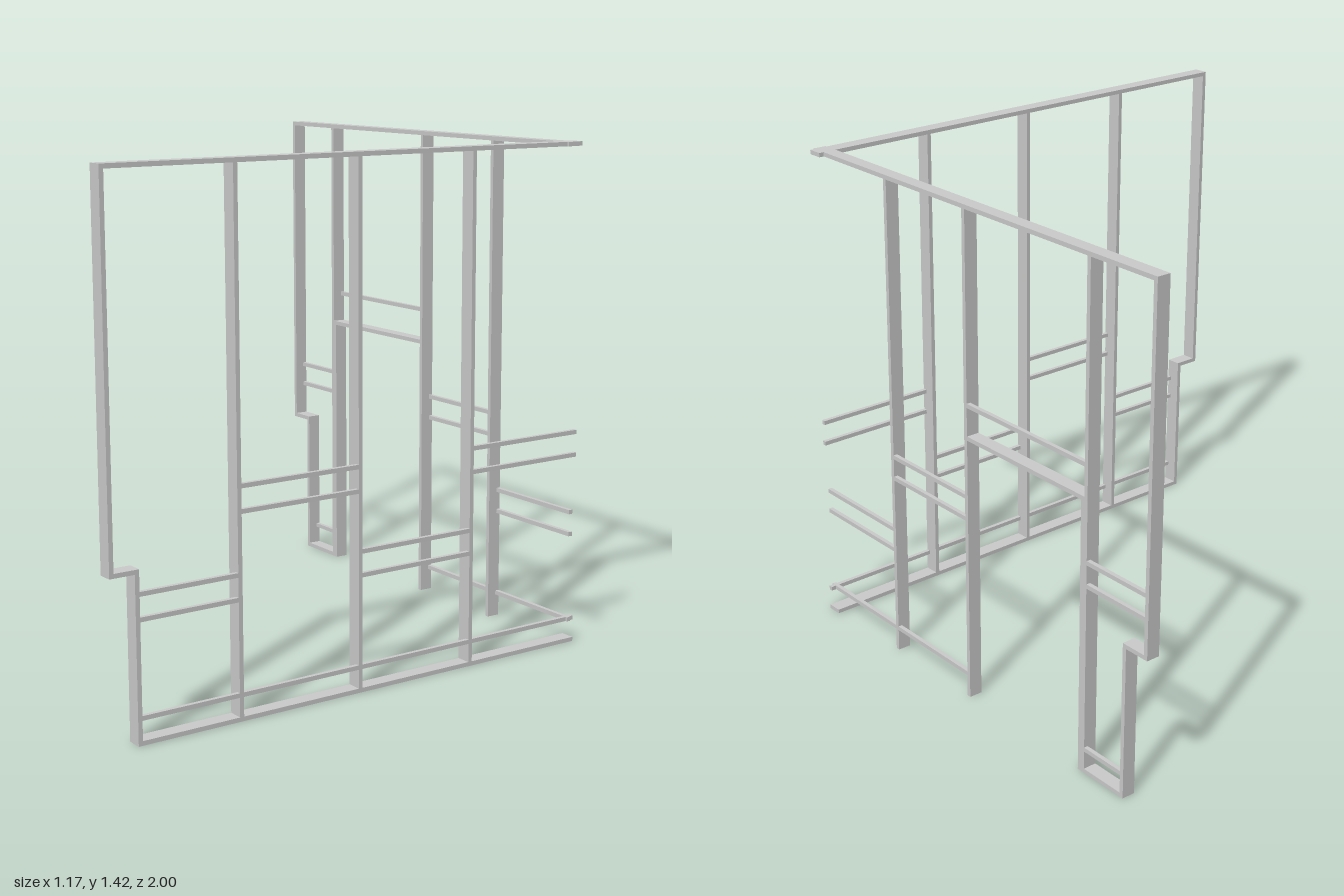
import * as THREE from 'three';

const T = 0.012;      // timber thickness
const TOP = 1.42;     // wall height
const LEDGE = 0.447;  // top of the stepped wall end

const material = new THREE.MeshStandardMaterial({ color: 0xcccccc, flatShading: true });

// A wall runs along its local x from the corner; inward is +1 or -1 along local z.
function createWall(name, corner, angle, depth, inward) {
  const wall = new THREE.Group();
  wall.name = name;
  wall.position.set(corner[0], 0, corner[1]);
  wall.rotation.y = angle;
  const timber = (part, s0, s1, y0, y1, d = depth) => {
    const mesh = new THREE.Mesh(new THREE.BoxGeometry(s1 - s0, y1 - y0, d), material);
    mesh.position.set((s0 + s1) / 2, (y0 + y1) / 2, inward * d / 2);
    mesh.name = part;
    wall.add(mesh);
  };
  return {
    wall,
    stud: (part, s, y0, y1) => timber(part, s, s + T, y0, y1),
    plate: (part, s0, s1, y0) => timber(part, s0, s1, y0, y0 + T),
    // slim rails sit flush with the outer face
    rails: (s0, s1, heights) => heights.forEach((y) =>
      timber('rail', s0, s1, y - T / 2, y + T / 2, T)),
  };
}

// Wall end that steps in below the ledge
function steppedEnd(w, length, inner) {
  w.stud('upperEndPost', length - T, LEDGE, TOP - T);
  w.plate('ledge', inner, length, LEDGE - T);
  w.stud('lowerEndPost', inner, 0, LEDGE - T);
}

const HIGH = [0.611, 0.546];
const LOW = [0.384, 0.32];
const BASE = 0.07;

export function createModel() {
  const model = new THREE.Group();
  model.name = 'wallFrame';

  // Front wall: four equal bays with alternating rail heights
  const fLen = 1.478, fInner = 1.397, bay = 0.3685;
  const front = createWall('frontWall', [0.584, 0.063], Math.atan2(-0.632, -0.775), 0.043, 1);
  front.plate('topPlate', 0, fLen, TOP - T);
  front.plate('solePlate', 0, fInner + T, 0);
  for (let i = 1; i < 4; i++) front.stud('stud', i * bay, T, TOP - T);
  steppedEnd(front, fLen, fInner);
  for (let i = 0; i < 4; i++) {
    front.rails(i ? i * bay + T : 0, i < 3 ? (i + 1) * bay : fInner, i % 2 ? LOW : HIGH);
  }
  front.rails(0, fInner, [BASE]);

  // Back wall: two bays, a doorway and a narrow end bay
  const bLen = 1.377, bInner = 1.289, studs = [0.325, 0.66, 1.139];
  const back = createWall('backWall', [0.576, 0.077], Math.atan2(0.783, -0.622), 0.039, -1);
  back.plate('topPlate', 0, bLen, TOP - T);
  studs.forEach((s) => back.stud('stud', s, 0, TOP - T));
  steppedEnd(back, bLen, bInner);
  back.rails(0, studs[0], LOW);
  back.rails(studs[0] + T, studs[1], HIGH);
  back.rails(0, studs[1], [BASE]);
  back.rails(studs[2] + T, bLen - T, HIGH);
  back.rails(studs[2] + T, bInner, [BASE]);
  back.plate('endSolePlate', studs[2] + T, bInner, 0);

  // Doorway: header, rail above it and a jack stud
  back.plate('doorHeader', studs[1] + T, studs[2], 0.777);
  back.rails(studs[1] + T, studs[2], [0.876]);
  back.stud('jackStud', studs[2] - T, 0, 0.777);

  model.add(front.wall, back.wall);
  return model;
}
